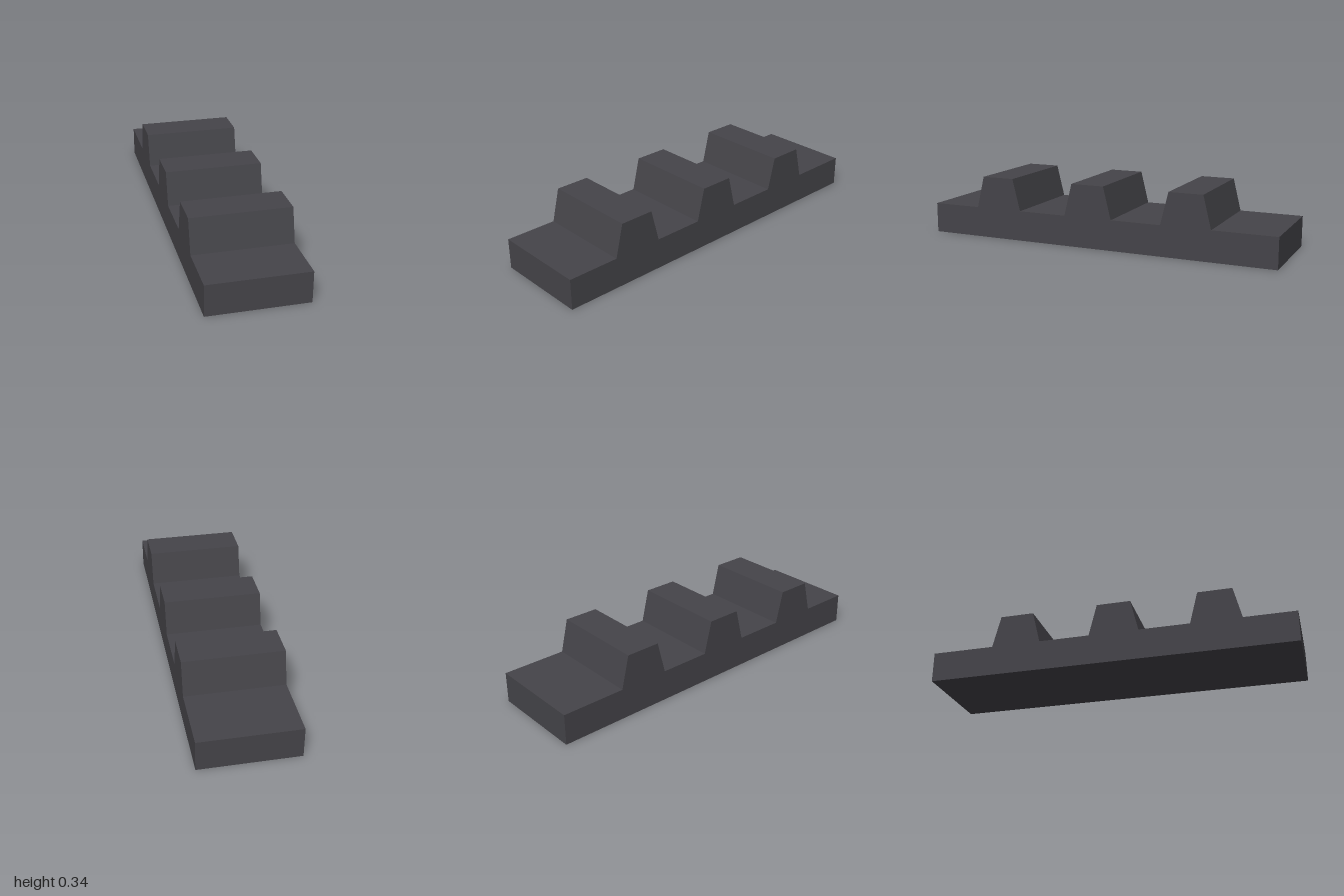
import * as THREE from 'three';

const WIDTH = 0.524, BASE_TOP = 0.167, TOOTH_TOP = 0.344;
const TOOTH_CENTRES = [0.584, 0.034, -0.518]; // along z, front to back
const FOOT_HALF = 0.137, CREST_HALF = 0.093;

export function createModel() {
  const group = new THREE.Group();
  group.name = 'toothedRack';
  const charcoal = new THREE.MeshStandardMaterial({ color: 0x454449 });
  charcoal.name = 'charcoal';

  // Side profile: flat bar with three tapered teeth (profile x runs towards -z)
  const profile = new THREE.Shape();
  profile.moveTo(1, 0);
  profile.lineTo(1, BASE_TOP);
  for (const z of [...TOOTH_CENTRES].reverse()) {
    profile.lineTo(-z + FOOT_HALF, BASE_TOP);
    profile.lineTo(-z + CREST_HALF, TOOTH_TOP);
    profile.lineTo(-z - CREST_HALF, TOOTH_TOP);
    profile.lineTo(-z - FOOT_HALF, BASE_TOP);
  }
  profile.lineTo(-1, BASE_TOP);
  profile.lineTo(-1, 0);
  profile.closePath();

  // Extrude across the width, then turn the profile to lie along z
  const geometry = new THREE.ExtrudeGeometry(profile, { depth: WIDTH, bevelEnabled: false });
  geometry.translate(0, 0, -WIDTH / 2);
  geometry.rotateY(Math.PI / 2);

  const rack = new THREE.Mesh(geometry, charcoal);
  rack.name = 'rackBar';
  group.add(rack);
  return group;
}
